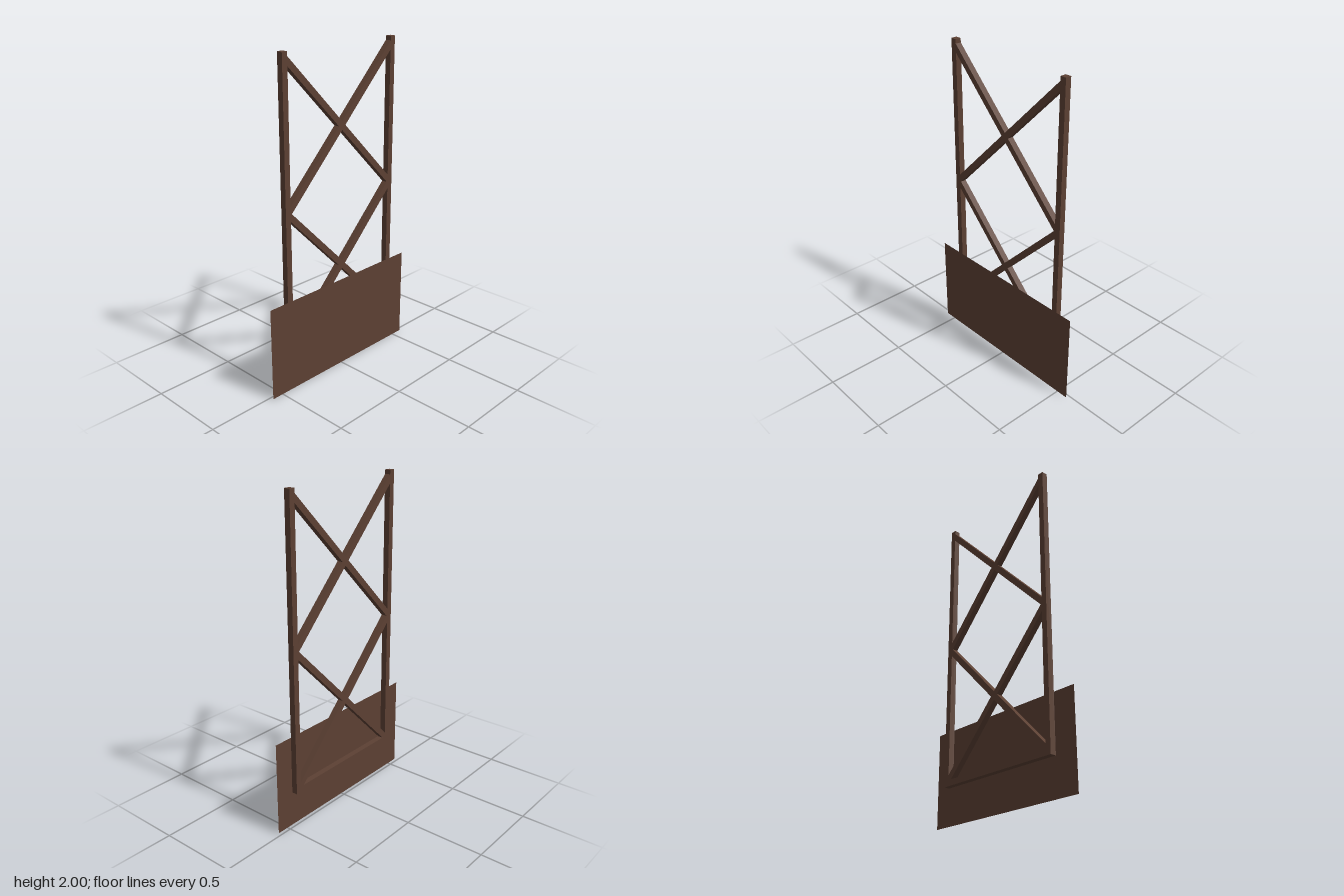
import * as THREE from 'three';

export function createModel() {
  const model = new THREE.Group();
  const brown = new THREE.MeshStandardMaterial({ color: 0x5c4033, side: THREE.DoubleSide });
  brown.name = 'dark brown wood';

  const T = 0.037;                      // square timber thickness
  const Z = -0.0035;                    // depth centre of the frame
  const LEFT = 0.44, RIGHT = -0.415;    // post centre lines
  const BOTTOM = 0.225, TOP = 2;

  // Square beam between two points in the frame plane
  function beam(name, x1, y1, x2, y2) {
    const length = Math.hypot(x2 - x1, y2 - y1);
    const mesh = new THREE.Mesh(new THREE.BoxGeometry(length, T, T), brown);
    mesh.position.set((x1 + x2) / 2, (y1 + y2) / 2, Z);
    mesh.rotation.z = Math.atan2(y2 - y1, x2 - x1);
    mesh.name = name;
    model.add(mesh);
  }

  // Upright posts and the rail joining their feet
  beam('leftPost', LEFT, BOTTOM, LEFT, TOP);
  beam('rightPost', RIGHT, BOTTOM, RIGHT, TOP);
  beam('bottomRail', RIGHT, BOTTOM + T / 2, LEFT, BOTTOM + T / 2);

  // Two stacked X braces
  const levels = [0.246, 1.107, 1.967];
  for (let i = 0; i < 2; i++) {
    const lower = levels[i], upper = levels[i + 1];
    beam('risingBrace' + (i + 1), RIGHT, lower, LEFT, upper);
    beam('fallingBrace' + (i + 1), RIGHT, upper, LEFT, lower);
  }

  // Flat board in front of the lower frame
  const board = new THREE.Mesh(new THREE.PlaneGeometry(1.15, 0.58), brown);
  board.position.set(0, 0.29, 0.022);
  board.name = 'frontBoard';
  model.add(board);

  return model;
}
